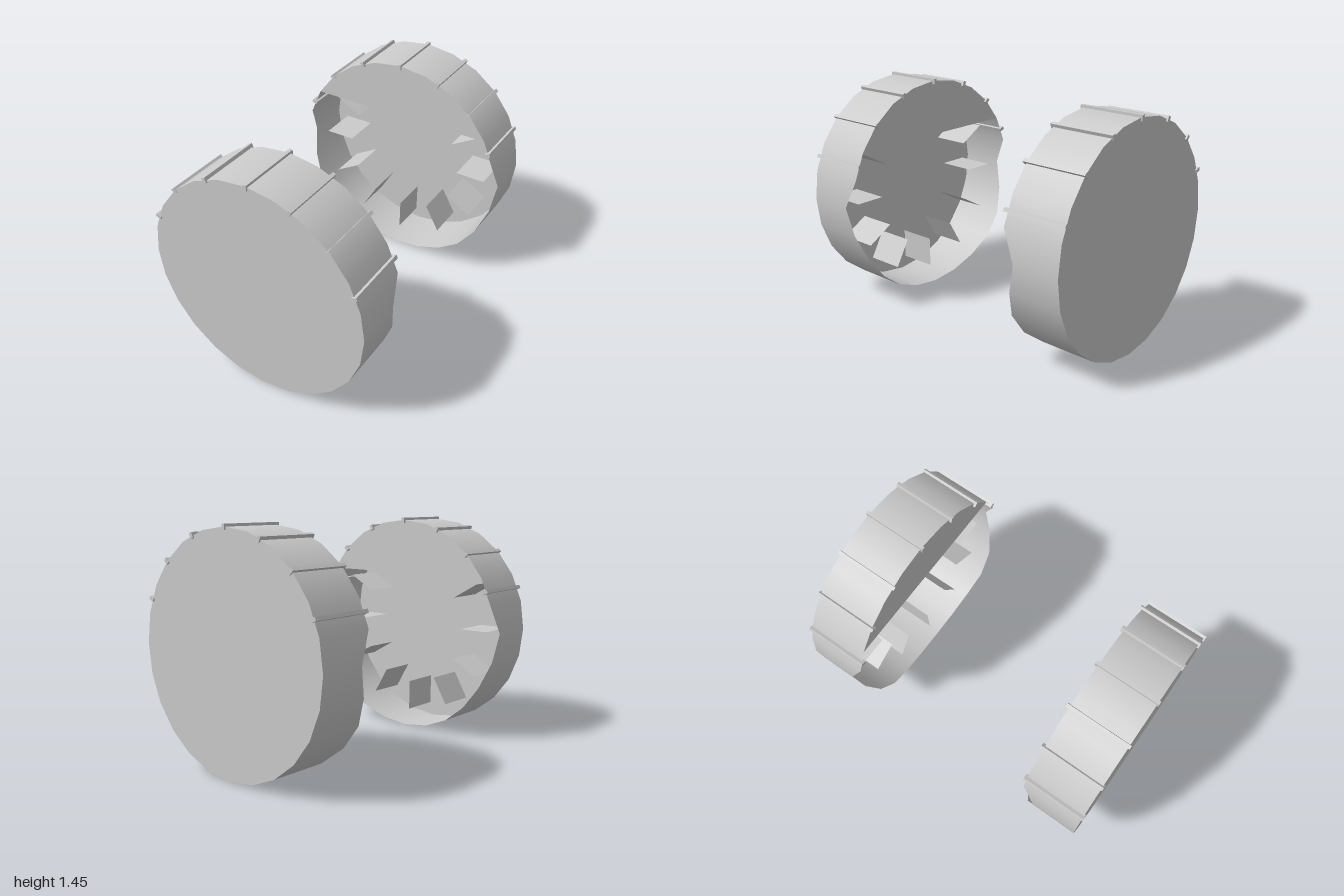
import * as THREE from 'three';

const R = 0.718, SIDES = 24, OUTER = 0.99, INNER = 0.607;
const material = new THREE.MeshStandardMaterial({ color: 0xcccccc, side: THREE.DoubleSide });

// Inner edge depth of the rim below the middle, every 15 degrees from 0 down to -90
const LOWER_EDGE = [0.69, 0.645, 0.603, 0.597, 0.62, 0.636, 0.642];

function add(parent, name, geometry) {
  const mesh = new THREE.Mesh(geometry, material);
  mesh.name = name;
  parent.add(mesh);
  return mesh;
}

// Smooth rim whose inner edge waves in and out along the lower half
function rimGeometry() {
  const geometry = new THREE.CylinderGeometry(R, R, OUTER - INNER, SIDES, 1, true);
  geometry.rotateX(Math.PI / 2).translate(0, 0, (OUTER + INNER) / 2);
  const p = geometry.attributes.position;
  for (let i = 0; i < p.count; i++) {
    if (p.getZ(i) > 0.8) continue;
    const step = Math.round(Math.asin(THREE.MathUtils.clamp(p.getY(i) / R, -1, 1)) / (Math.PI / 12));
    if (step <= 0) p.setZ(i, LOWER_EDGE[-step]);
  }
  return geometry;
}

// Plate closing the top of the open side, cut along a horizontal chord
function coverGeometry() {
  const points = [];
  for (let a = 30; a <= 150; a += 15) {
    const t = THREE.MathUtils.degToRad(a);
    points.push(new THREE.Vector2(R * Math.cos(t), R * Math.sin(t)));
  }
  return new THREE.ShapeGeometry(new THREE.Shape(points)).translate(0, 0, INNER);
}

function createDrum() {
  const drum = new THREE.Group();
  add(drum, 'rim', rimGeometry());
  add(drum, 'outerWall', new THREE.CircleGeometry(R, SIDES).translate(0, 0, OUTER));
  add(drum, 'innerCover', coverGeometry());

  // Thin bars straddling the upper rim
  const bar = new THREE.BoxGeometry(0.035, 0.022, 0.41).translate(0.715, 0, 0.795);
  for (let i = 1; i <= 7; i++) add(drum, 'rimBar', bar).rotation.z = i * Math.PI / 8;

  // Ring of flat radial fins inside the drum
  const fin = new THREE.PlaneGeometry(0.2, 0.26).rotateX(Math.PI / 2).translate(0.515, 0, 0.82);
  for (let i = 0; i < 12; i++) add(drum, 'fin', fin).rotation.z = i * Math.PI / 6;

  drum.position.y = R;
  return drum;
}

export function createModel() {
  const model = new THREE.Group();
  model.name = 'pairOfDrums';
  const front = createDrum();
  front.name = 'frontDrum';
  const back = createDrum();
  back.name = 'backDrum';
  back.rotation.y = Math.PI;
  model.add(front, back);
  return model;
}
